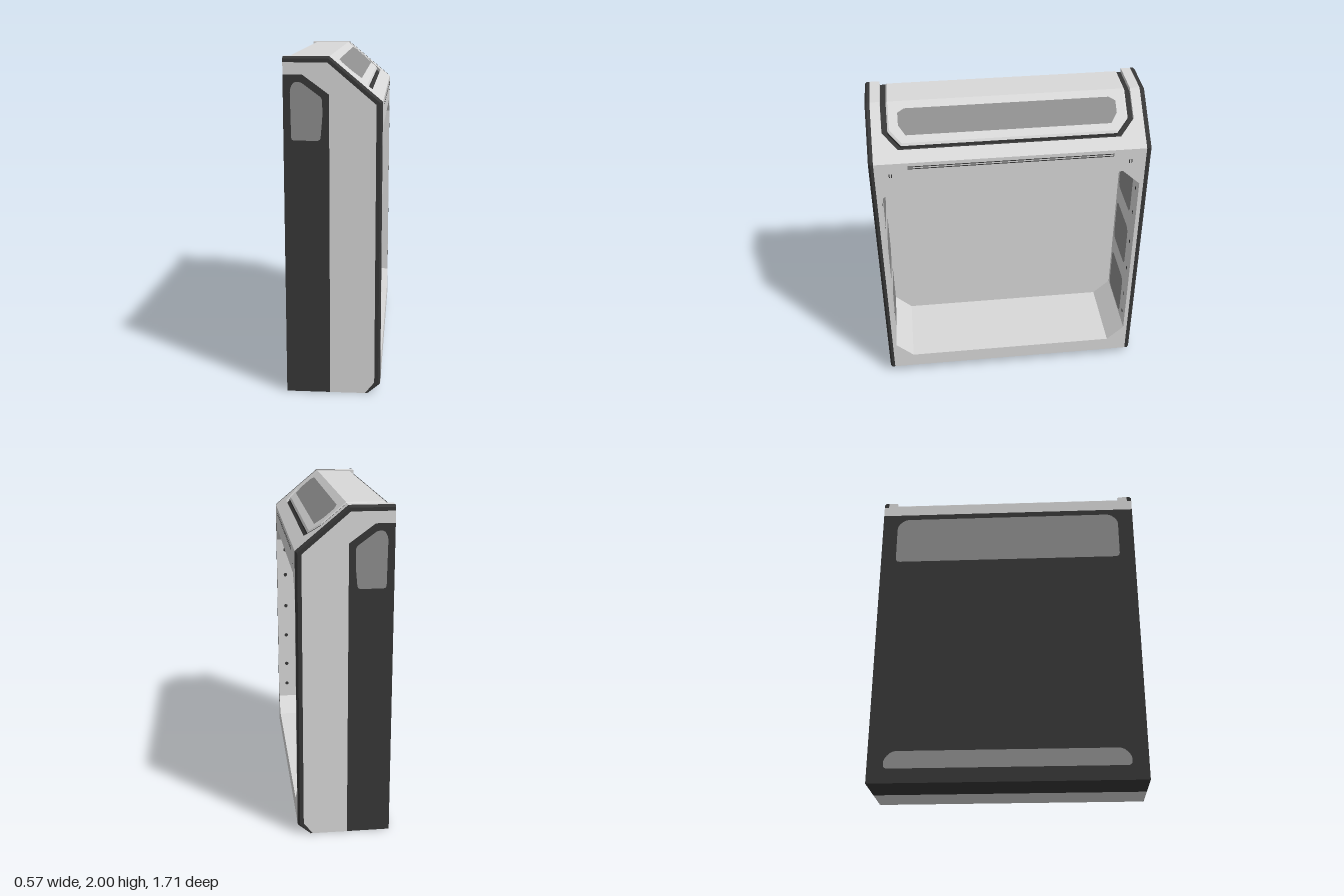
import * as THREE from 'three';

const material = (name, color) => {
  const m = new THREE.MeshStandardMaterial({ color, side: THREE.DoubleSide });
  m.name = name;
  return m;
};

export function createModel() {
  const group = new THREE.Group();
  const light = material('light grey shell', 0xd9d9d9);
  const dark = material('charcoal', 0x383838);
  const grey = material('mid grey', 0x8f8f8f);

  const add = (name, geometry, mat) => {
    const mesh = new THREE.Mesh(geometry, mat);
    mesh.name = name;
    group.add(mesh);
  };

  // Flat strip of quads between two matching rows of 3D points
  const strip = (name, a, b, mat) => {
    const pos = [];
    for (let i = 0; i < a.length - 1; i++) {
      pos.push(...a[i], ...a[i + 1], ...b[i + 1], ...a[i], ...b[i + 1], ...b[i]);
    }
    const g = new THREE.BufferGeometry();
    g.setAttribute('position', new THREE.Float32BufferAttribute(pos, 3));
    g.computeVertexNormals();
    add(name, g, mat);
  };

  // Flat polygon drawn in 2D and placed by a mapping to 3D
  const face = (name, pts, mat, place, { hole, round = 0 } = {}) => {
    const v = pts.map(p => new THREE.Vector2(...p));
    const shape = new THREE.Shape();
    if (round) {
      v.forEach((p, i) => {
        const toward = q => p.clone().add(q.clone().sub(p).setLength(Math.min(round, p.distanceTo(q) * 0.45)));
        const s = toward(v[(i + v.length - 1) % v.length]), e = toward(v[(i + 1) % v.length]);
        if (i) shape.lineTo(s.x, s.y); else shape.moveTo(s.x, s.y);
        shape.quadraticCurveTo(p.x, p.y, e.x, e.y);
      });
      shape.closePath();
    } else shape.setFromPoints(v);
    if (hole) shape.holes.push(new THREE.Path(hole.map(p => new THREE.Vector2(...p))));
    const g = new THREE.ShapeGeometry(shape, 5);
    const at = g.attributes.position;
    for (let i = 0; i < at.count; i++) at.setXYZ(i, ...place(at.getX(i), at.getY(i)));
    g.computeVertexNormals();
    add(name, g, mat);
  };

  const rect = (u0, v0, u1, v1) => [[u0, v0], [u1, v0], [u1, v1], [u0, v1]];
  const onX = x => (z, y) => [x, y, z];
  const onY = y => (x, z) => [x, y, z];
  const onZ = z => (x, y) => [x, y, z];
  const flip = pts => pts.map(([x, y, z]) => [x, y, -z]);

  // Side profile: outer edge and the inner edge of its trim
  const outer = [[0.21, 0], [0.28, 0.06], [0.28, 1.75], [-0.02, 2], [-0.28, 2]];
  const inner = [[0.19, 0], [0.245, 0.07], [0.245, 1.735], [-0.03, 1.968], [-0.28, 1.968]];
  const bevel = outer.map(([x, y], i) => [x + (inner[i][0] - x) * 0.35, y + (inner[i][1] - y) * 0.35]);
  const windowPts = [[-0.235, 1.53], [-0.07, 1.53], [-0.058, 1.66], [-0.058, 1.77], [-0.18, 1.86], [-0.22, 1.86], [-0.24, 1.82]];

  for (const s of [1, -1]) {
    // Side panels
    face('sideShell', [[-0.28, 0], [-0.02, 0], [-0.02, 1.79], [-0.17, 1.9], [-0.28, 1.9]], dark, onZ(0.85 * s));
    face('sidePanel', [[-0.02, 0], ...inner, [-0.28, 1.9], [-0.17, 1.9], [-0.02, 1.79]], light, onZ(0.85 * s));
    face('sideWindow', windowPts, grey, onZ(0.854 * s), { round: 0.02 });

    // Bevelled trim around the side panel
    const rows = [[inner, 0.85], [bevel, 0.85], [outer, 0.838], [outer, 0.82]]
      .map(([path, z]) => path.map(([x, y]) => [x, y, z * s]));
    for (let i = 0; i < 3; i++) strip('sideTrim', rows[i], rows[i + 1], dark);
    face('trimEnd', [[0.85, 1.968], [0.85, 1.988], [0.838, 2], [0.82, 2], [0.82, 1.968]],
      dark, (z, y) => [-0.28, y, z * s]);

    // Cavity wall pads and pin holes
    for (const y of [0.445, 0.885, 1.325]) {
      face('wallPad', rect(-0.175, y - 0.155, 0.15, y + 0.155), grey, onZ(0.791 * s), { round: 0.05 });
    }
    for (const y of [0.37, 0.53, 0.76, 0.99, 1.23, 1.42]) {
      const hole = new THREE.CircleGeometry(0.013, 12);
      if (s > 0) hole.rotateY(Math.PI);
      hole.translate(0.22, y, 0.791 * s);
      add('pinHole', hole, dark);
    }
    face('ceilingPad', rect(-0.175, 0.29 * s - 0.2, 0.15, 0.29 * s + 0.2), grey, onY(1.591), { round: 0.05 });

    // Small fastener marks on the front frame
    for (const dz of [-0.007, 0.007]) {
      face('fastener', rect(0.725 * s + dz - 0.003, 1.655, 0.725 * s + dz + 0.003, 1.682), dark, onX(0.283));
    }
  }

  // Back and underside
  face('backShell', rect(-0.85, 0, 0.85, 1.9), dark, onX(-0.28));
  face('backBand', [[-0.85, 1.9], [0.85, 1.9], [0.85, 1.968], [0.82, 1.968], [0.82, 2], [0.76, 2], [0.76, 1.975],
    [-0.76, 1.975], [-0.76, 2], [-0.82, 2], [-0.82, 1.968], [-0.85, 1.968]], light, onX(-0.28));
  face('backUpperPanel', [[-0.75, 1.53], [0.75, 1.53], [0.75, 1.81], [0.7, 1.86], [-0.7, 1.86], [-0.75, 1.81]],
    grey, onX(-0.284), { round: 0.03 });
  face('backLowerPanel', [[-0.75, 0.09], [0.75, 0.09], [0.75, 0.15], [0.7, 0.2], [-0.7, 0.2], [-0.75, 0.15]],
    grey, onX(-0.284), { round: 0.03 });
  face('shellBottom', rect(-0.28, -0.85, -0.02, 0.85), dark, onY(0));
  face('bodyBottom', [[-0.02, -0.85], [0.19, -0.85], [0.21, -0.838], [0.21, 0.838], [0.19, 0.85], [-0.02, 0.85]],
    light, onY(0));
  strip('bottomChamfer', [[0.21, 0, 0.82], [0.28, 0.06, 0.82]], [[0.21, 0, -0.82], [0.28, 0.06, -0.82]], light);

  // Front frame with an eight-sided opening into a deep cavity
  const opening = [[0.795, 0.265], [0.795, 1.495], [0.685, 1.595], [-0.685, 1.595],
    [-0.795, 1.495], [-0.795, 0.265], [-0.685, 0.16], [0.685, 0.16]];
  face('frontFrame', rect(-0.82, 0.06, 0.82, 1.75), light, onX(0.28), { hole: opening });
  const loop = [...opening, opening[0]];
  strip('cavityWalls', loop.map(([z, y]) => [0.28, y, z]), loop.map(([z, y]) => [-0.22, y, z]), light);
  face('cavityBack', opening, light, onX(-0.22));
  face('frontSlot', rect(-0.62, 1.708, 0.62, 1.714), dark, onX(0.283));
  face('frontSlot', rect(-0.62, 1.722, 0.62, 1.728), dark, onX(0.283));

  // Folded top: points are given as x, z and dropped onto the flat or sloping surface
  const top = (pts, drop = 0) => pts.map(([x, z]) => [x, 2 - Math.max(0, x + 0.02) / 1.2 - drop, z]);
  const ring = half => [...half, ...half.map(([x, z]) => [x, -z]).reverse()];
  const edge = [[-0.28, 0.82], [-0.02, 0.82], [0.13, 0.82], [0.28, 0.82]];
  const groove = [[-0.28, 0.76], [-0.02, 0.76], [0.13, 0.76], [0.215, 0.67]];
  const capBase = [[-0.25, 0.725], [-0.02, 0.725], [0.122, 0.725], [0.192, 0.65]];
  const cap = [[-0.245, 0.715], [-0.02, 0.715], [0.118, 0.715], [0.184, 0.645]];
  const pad = [[0.02, 0.62], [0.04, 0.66], [0.1, 0.66], [0.15, 0.62]];
  strip('topSurface', top(ring(edge)), top(ring(groove)), light);
  strip('grooveWall', top(ring(groove)), top(ring(groove), 0.025), light);
  const floor = top(groove, 0.025);
  strip('grooveFloor', floor, flip(floor), dark);
  const closed = half => [...ring(half), half[0]];
  strip('capWall', top(closed(capBase), 0.025), top(closed(capBase), 0.008), dark);
  strip('capBevel', top(closed(capBase), 0.008), top(closed(cap)), light);
  strip('topCap', top(cap), flip(top(cap)), light);
  strip('capPad', top(pad, -0.004), flip(top(pad, -0.004)), grey);

  return group;
}
